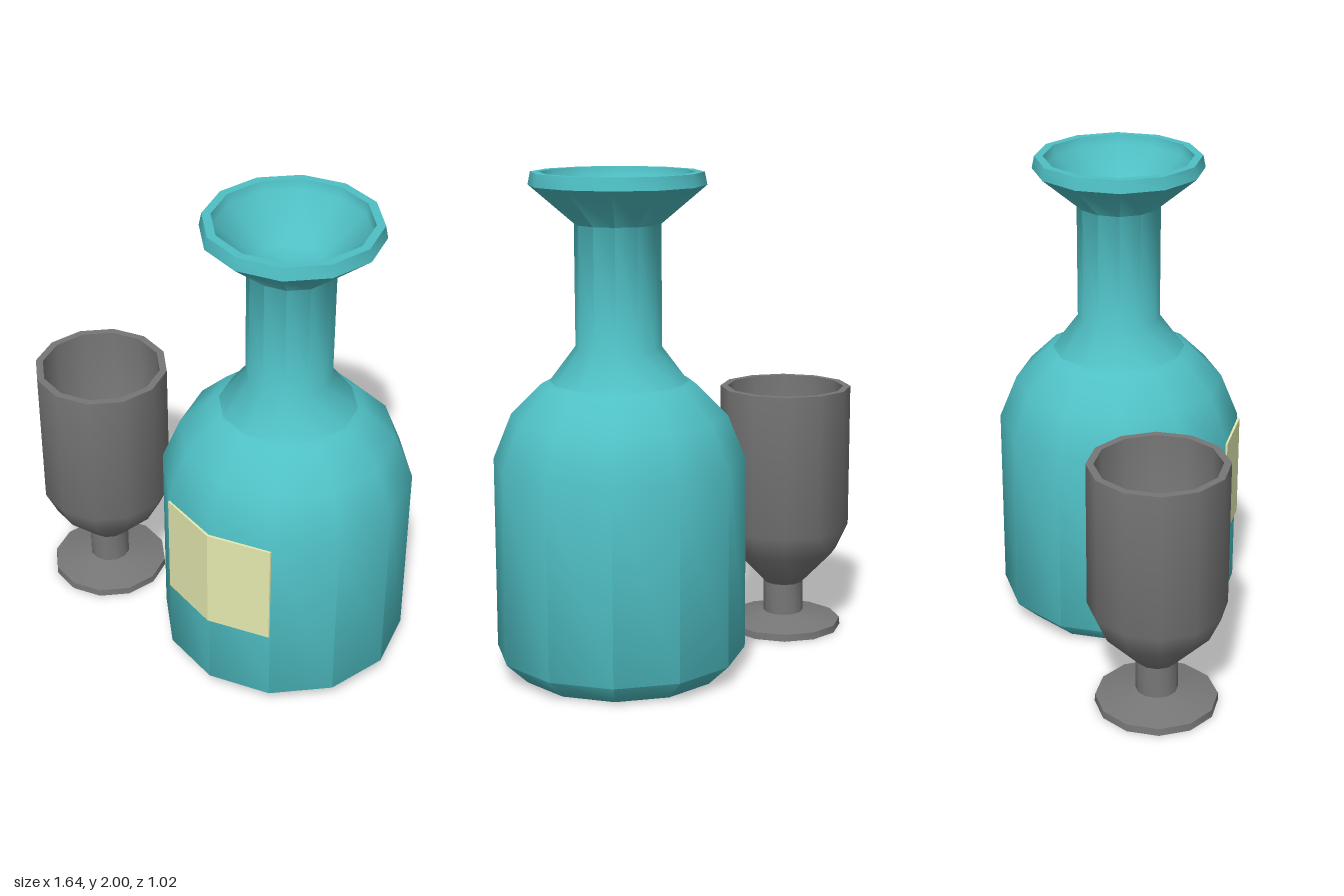
import * as THREE from 'three';
import { toCreasedNormals } from 'three/addons/utils/BufferGeometryUtils.js';

const SIDES = 12;

// Turned part from [radius, height] pairs, soft shading with sharp rims.
function turned(name, profile, material) {
  const points = profile.map(([r, y]) => new THREE.Vector2(r, y));
  const geometry = toCreasedNormals(new THREE.LatheGeometry(points, SIDES), 0.9);
  const mesh = new THREE.Mesh(geometry, material);
  mesh.name = name;
  return mesh;
}

export function createModel() {
  const teal = new THREE.MeshStandardMaterial({ color: 0x4fc0c5 });
  const cream = new THREE.MeshStandardMaterial({ color: 0xe6ebb0 });
  const smoke = new THREE.MeshStandardMaterial({ color: 0x777777 });

  const model = new THREE.Group();
  model.name = 'bottleAndGoblet';

  // Bottle
  const bottle = new THREE.Group();
  bottle.name = 'bottle';
  bottle.position.set(0.315, 0, -0.005);
  model.add(bottle);

  bottle.add(turned('bottleBody', [
    [0, 0], [0.415, 0], [0.503, 0.085], [0.503, 0.865],
    [0.43, 1.045], [0.305, 1.17], [0.2, 1.21], [0, 1.23],
  ], teal));

  // Neck flares at both ends; the mouth is a shallow funnel
  bottle.add(turned('bottleNeck', [
    [0.275, 1.18], [0.17, 1.32], [0.17, 1.8], [0.347, 1.95], [0.337, 2],
    [0.303, 2], [0.295, 1.96], [0.13, 1.82], [0, 1.8],
  ], teal));

  // Label folded around the front corner of the body
  const plan = new THREE.Shape([
    [-0.25, 0.425], [0, 0.49], [0.25, 0.425],
    [0.25, 0.444], [0, 0.514], [-0.25, 0.444],
  ].map(([x, z]) => new THREE.Vector2(x, z)));
  const labelGeometry = new THREE.ExtrudeGeometry(plan, { depth: 0.44, bevelEnabled: false });
  labelGeometry.rotateX(Math.PI / 2).translate(0, 0.84, 0);
  const label = new THREE.Mesh(labelGeometry, cream);
  label.name = 'label';
  bottle.add(label);

  // Goblet
  const goblet = new THREE.Group();
  goblet.name = 'goblet';
  goblet.position.set(-0.543, 0, 0.13);
  model.add(goblet);

  goblet.add(turned('gobletFootAndStem', [
    [0, 0], [0.248, 0], [0.246, 0.03], [0.085, 0.065], [0.085, 0.2],
  ], smoke));

  goblet.add(turned('gobletBowl', [
    [0.085, 0.2], [0.228, 0.35], [0.276, 0.455], [0.276, 1.06],
    [0.246, 1.06], [0.246, 0.47], [0.2, 0.37], [0.08, 0.25], [0, 0.23],
  ], smoke));

  return model;
}
